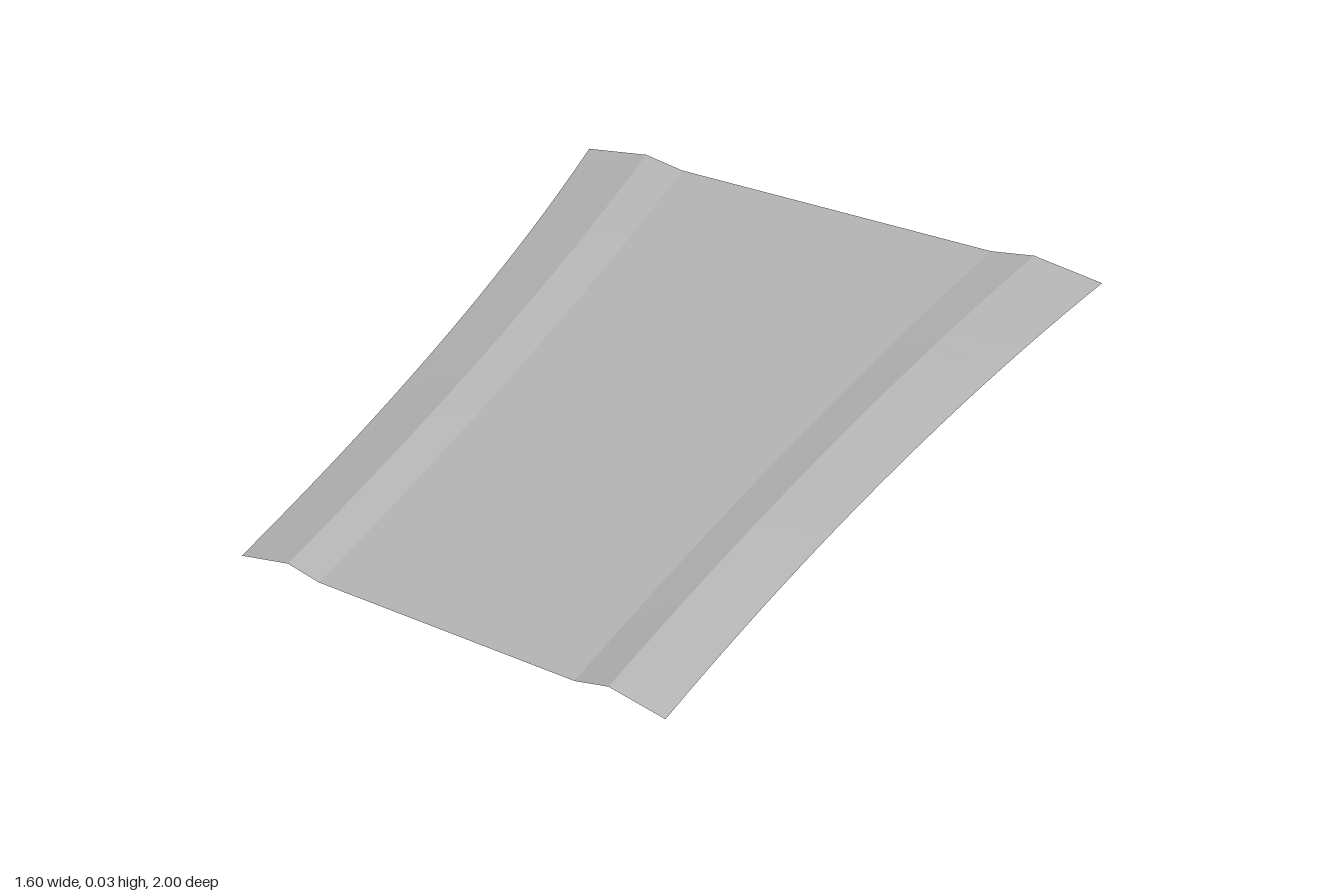
import * as THREE from 'three';

const SEGMENTS = 20;

// Half width of the flared sheet at a given z: wide at the back, narrow at the front
const halfWidth = (z) => 0.627 - 0.1325 * z + 0.0405 * z * z;

// Cross-section: [fraction of half width, height]
const LEFT_EDGE = [-1, 0], LEFT_RIDGE = [-0.755, 0.03], LEFT_FOOT = [-0.603, 0.009];
const mirror = ([f, y]) => [-f, y];

// Lengthwise strip between two cross-section points, facing up
function strip(name, a, b, material) {
  const geometry = new THREE.PlaneGeometry(1, 2, 1, SEGMENTS);
  geometry.rotateX(-Math.PI / 2);
  const pos = geometry.attributes.position;
  for (let i = 0; i < pos.count; i++) {
    const z = pos.getZ(i);
    const [f, y] = pos.getX(i) < 0 ? a : b;
    pos.setXYZ(i, f * halfWidth(z), y, z);
  }
  geometry.computeVertexNormals();
  const mesh = new THREE.Mesh(geometry, material);
  mesh.name = name;
  return mesh;
}

export function createModel() {
  const grey = new THREE.MeshStandardMaterial({ color: 0xb2b2b2, side: THREE.DoubleSide, flatShading: true });
  grey.name = 'plain grey';

  const group = new THREE.Group();
  group.name = 'flaredRoadSection';
  group.add(
    // Raised shoulders, -x side then +x side
    strip('rightOuterSlope', LEFT_EDGE, LEFT_RIDGE, grey),
    strip('rightInnerSlope', LEFT_RIDGE, LEFT_FOOT, grey),
    strip('leftInnerSlope', mirror(LEFT_FOOT), mirror(LEFT_RIDGE), grey),
    strip('leftOuterSlope', mirror(LEFT_RIDGE), mirror(LEFT_EDGE), grey),
    // Flat middle
    strip('roadBed', LEFT_FOOT, mirror(LEFT_FOOT), grey)
  );
  return group;
}
